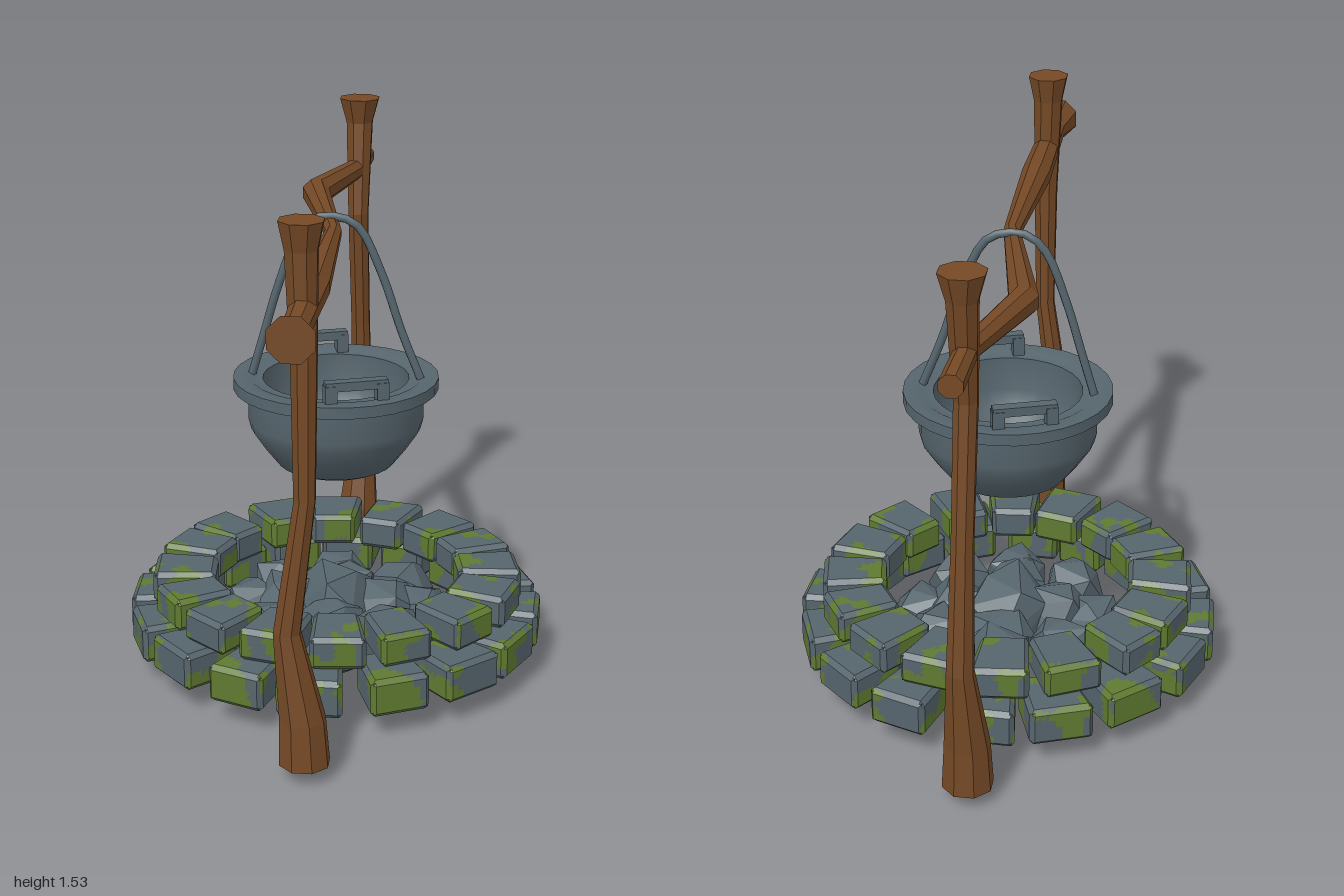
import * as THREE from 'three';
import { toCreasedNormals } from 'three/addons/utils/BufferGeometryUtils.js';
import { ConvexGeometry } from 'three/addons/geometries/ConvexGeometry.js';

const CZ = -0.08; // centre of the fire ring and pot along z

function makeRandom(seed) {
  let s = seed;
  return () => {
    s = (s * 16807) % 2147483647;
    return s / 2147483647;
  };
}

// Eight-sided limb through points [x, y, z, radius]; rings face y or z
function limb(points, alongZ) {
  const n = points.length - 1;
  const g = new THREE.CylinderGeometry(1, 1, 1, 8, n, false, Math.PI / 8);
  const p = g.attributes.position;
  for (let i = 0; i < p.count; i++) {
    const [cx, cy, cz, r] = points[Math.round((0.5 - p.getY(i)) * n)];
    const a = p.getX(i) * r * 1.07, b = p.getZ(i) * r * 1.07;
    if (alongZ) p.setXYZ(i, cx + a, cy - b, cz);
    else p.setXYZ(i, cx + a, cy, cz + b);
  }
  const flat = g.toNonIndexed();
  flat.computeVertexNormals();
  return flat;
}

// Chamfered block, narrower towards the ring centre (-z)
function block(w, h, d, taper, rand) {
  const seg = [10, 6, 10], half = [w / 2, h / 2, d / 2], bevel = 0.014;
  const g = new THREE.BoxGeometry(2, 2, 2, ...seg);
  const p = g.attributes.position;
  const skew = (rand() - 0.5) * 0.12;
  for (let i = 0; i < p.count; i++) {
    const u = [p.getX(i), p.getY(i), p.getZ(i)];
    const onEdge = u.filter(c => Math.abs(c) > 0.999).length > 1;
    const q = u.map((c, k) => Math.abs(c) > 0.999
      ? Math.sign(c) * (half[k] - (onEdge ? bevel / 2 : 0))
      : c / (1 - 2 / seg[k]) * (half[k] - bevel));
    const t = q[2] / d + 0.5;
    p.setXYZ(i, q[0] * (taper + (1 - taper) * t) + q[2] * skew, q[1], q[2]);
  }
  return g;
}

// Sort triangles into bare stone (group 0) and moss patches (group 1)
function paintMoss(geometry, h, seed) {
  const g = geometry.toNonIndexed();
  const p = g.attributes.position, bare = [], moss = [];
  for (let i = 0; i < p.count; i += 3) {
    const c = [0, 0, 0], tri = [];
    for (let k = 0; k < 3; k++) {
      const v = [p.getX(i + k), p.getY(i + k), p.getZ(i + k)];
      v.forEach((n, j) => { c[j] += n / 3; });
      tri.push(...v);
    }
    const [x, y, z] = c;
    const noise = Math.sin(x * 31 + seed + 2 * Math.sin(z * 23)) + Math.sin(z * 29 - seed * 2 + y * 24)
      + 0.6 * Math.sin(y * 45 + x * 38 + seed * 3) + 0.4 * Math.sin(x * 75 - z * 67);
    // Moss favours the sides and the borders of the top, and avoids the underside
    const edge = Math.max(Math.abs(x) / 0.085, Math.abs(z) / 0.093);
    const limit = y < -h * 0.47 ? 1.6 : y > h * 0.47 ? 0.75 : 0.25;
    (noise + (edge - 0.85) * 1.8 > limit ? moss : bare).push(...tri);
  }
  const out = new THREE.BufferGeometry();
  out.setAttribute('position', new THREE.Float32BufferAttribute(bare.concat(moss), 3));
  out.addGroup(0, bare.length / 3, 0);
  out.addGroup(bare.length / 3, moss.length / 3, 1);
  out.computeVertexNormals();
  return out;
}

// Chunky convex rock with broad flattened faces
function rock(r, rand) {
  const points = [];
  for (let i = 0; i < 16; i++) {
    const v = new THREE.Vector3().setFromSphericalCoords(
      r * (0.95 + rand() * 0.2), Math.acos(1 - 2 * (i + 0.5) / 16), i * 2.4 + rand() * 0.7);
    points.push(v.clampScalar(-r * 0.85, r * 0.85));
  }
  return new ConvexGeometry(points);
}

export function createModel() {
  const model = new THREE.Group();
  model.name = 'campfireCauldron';
  const mat = (name, color) => {
    const m = new THREE.MeshStandardMaterial({ color });
    m.name = name;
    return m;
  };
  const wood = mat('wood', 0x754926);
  const stone = mat('stone', 0x56656d);
  const moss = mat('moss', 0x5f7a31);
  const iron = mat('iron', 0x56656d);
  const add = (parent, name, geometry, material) => {
    const mesh = new THREE.Mesh(geometry, material);
    mesh.name = name;
    parent.add(mesh);
    return mesh;
  };

  // Wooden frame, points listed top first / front first
  add(model, 'frontPost', limb([
    [-0.005, 1.54, 0.73, 0.057], [-0.005, 1.465, 0.73, 0.042], [0, 1.18, 0.73, 0.034],
    [0, 0.8, 0.73, 0.028], [-0.048, 0.43, 0.73, 0.036],
    [-0.008, 0.18, 0.73, 0.06], [-0.003, 0.05, 0.73, 0.066]]), wood);
  add(model, 'backPost', limb([
    [0, 1.54, -0.82, 0.06], [0, 1.465, -0.82, 0.04], [0, 1.18, -0.785, 0.031],
    [0.005, 0.8, -0.83, 0.029], [0.01, 0.43, -0.86, 0.036],
    [0, 0.18, -0.825, 0.06], [0, 0.05, -0.82, 0.067]]), wood);
  add(model, 'crossbar', limb([
    [0, 1.315, 1, 0.06], [0, 1.31, 0.9, 0.034], [0, 1.305, 0.5, 0.042],
    [0, 1.318, 0, 0.023], [-0.1, 1.318, -0.47, 0.04],
    [-0.005, 1.32, -0.8, 0.029], [0, 1.318, -1, 0.031]], true), wood);

  // Two courses of mossy stones
  const rand = makeRandom(4711);
  const course = (name, y, radius, w, h, d, taper, offset) => {
    const ring = new THREE.Group();
    ring.name = name;
    ring.position.set(0, y, CZ);
    for (let i = 0; i < 16; i++) {
      const a = (i + offset) * Math.PI / 8 + (rand() - 0.5) * 0.06;
      const width = w * (0.94 + rand() * 0.12);
      const shape = block(width, h, d, taper, rand);
      const s = add(ring, 'stone', paintMoss(shape, h, rand() * 20), [stone, moss]);
      const r = radius + (rand() - 0.5) * 0.012;
      s.position.set(Math.sin(a) * r, 0, Math.cos(a) * r);
      s.rotation.y = a + (rand() - 0.5) * 0.12;
    }
    model.add(ring);
  };
  course('lowerStones', 0.13, 0.512, 0.185, 0.112, 0.185, 0.8, 0);
  course('upperStones', 0.236, 0.45, 0.165, 0.096, 0.185, 0.78, 0.3);

  // Loose rocks in the fire pit
  const rocks = new THREE.Group();
  rocks.name = 'pitRocks';
  rocks.position.z = CZ;
  [[1, 0, 0.135, 0.15], [4, 0.14, 0.125, 0.115], [8, 0.24, 0.125, 0.1]].forEach(([n, r, y, size]) => {
    for (let i = 0; i < n; i++) {
      const a = i / n * Math.PI * 2 + (rand() - 0.5) * 0.15;
      const k = add(rocks, 'rock', rock(size, rand), stone);
      k.position.set(Math.cos(a) * r * 1.04, y + (rand() - 0.5) * 0.02, Math.sin(a) * r);
      k.rotation.set(0.25 * (rand() - 0.5), rand() * 6, 0.25 * (rand() - 0.5));
    }
  });
  model.add(rocks);

  // Hanging pot
  const pot = new THREE.Group();
  pot.name = 'pot';
  pot.position.z = -0.075;
  const profile = [[0, 0.6], [0.14, 0.6], [0.17, 0.614], [0.212, 0.668], [0.248, 0.722], [0.255, 0.75],
    [0.255, 0.842], [0.298, 0.842], [0.298, 0.876], [0.25, 0.876], [0.24, 0.87], [0.212, 0.87],
    [0.212, 0.77], [0.195, 0.72], [0.145, 0.64], [0, 0.64]];
  const body = new THREE.LatheGeometry(profile.map(([x, y]) => new THREE.Vector2(x, y)), 28);
  add(pot, 'potBody', toCreasedNormals(body, 0.6), iron);

  // Square grips on the rim
  for (const turn of [0, Math.PI]) {
    const grip = new THREE.Group();
    grip.name = 'rimGrip';
    grip.rotation.y = turn + 0.34;
    const bar = add(grip, 'gripBar', new THREE.BoxGeometry(0.18, 0.026, 0.032), iron);
    bar.position.set(0, 0.922, 0.235);
    for (const side of [-1, 1]) {
      const leg = add(grip, 'gripLeg', new THREE.BoxGeometry(0.034, 0.06, 0.036), iron);
      leg.position.set(side * 0.075, 0.895, 0.235);
    }
    pot.add(grip);
  }

  // Bail looped over the crossbar
  const path = [[-0.248, 0.86], [-0.21, 0.99], [-0.163, 1.15], [-0.105, 1.295], [-0.057, 1.34], [0, 1.346],
    [0.06, 1.322], [0.13, 1.185], [0.19, 1.01], [0.25, 0.86]];
  const curve = new THREE.CatmullRomCurve3(path.map(([x, y]) => new THREE.Vector3(x, y, 0)));
  add(pot, 'bail', new THREE.TubeGeometry(curve, 30, 0.012, 8), iron);
  model.add(pot);

  return model;
}
